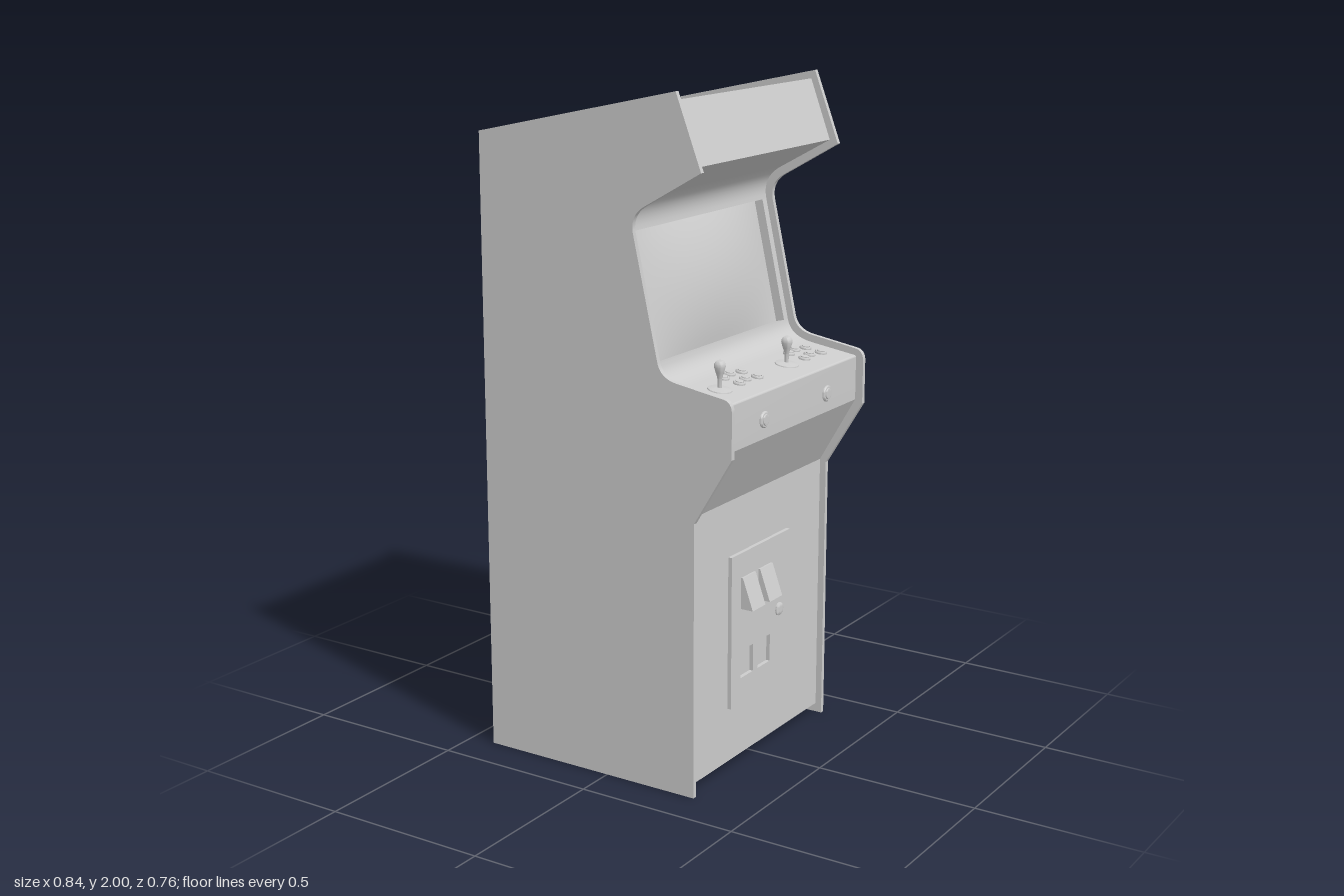
import * as THREE from 'three';
import { toCreasedNormals } from 'three/addons/utils/BufferGeometryUtils.js';

const material = new THREE.MeshStandardMaterial({ color: 0xcccccc });

// [x, y] is a straight step, [cx, cy, x, y] a rounded corner
function outline(steps) {
  const shape = new THREE.Shape();
  shape.moveTo(...steps[0]);
  for (const s of steps.slice(1)) {
    if (s.length === 2) shape.lineTo(...s);
    else shape.quadraticCurveTo(...s);
  }
  shape.closePath();
  return shape;
}

// Extrudes a side-on (x, y) outline from z0 to z1
function slab(shape, z0, z1) {
  const geo = new THREE.ExtrudeGeometry(shape, { depth: z1 - z0, bevelEnabled: false, curveSegments: 10 });
  geo.translate(0, 0, z0);
  return toCreasedNormals(geo, 0.5);
}

function rectangle(x0, y0, x1, y1) {
  return outline([[x0, y0], [x1, y0], [x1, y1], [x0, y1]]);
}

function lathe(points, segments = 24) {
  const geo = new THREE.LatheGeometry(points.map(p => new THREE.Vector2(...p)), segments);
  return toCreasedNormals(geo, 0.6);
}

export function createModel() {
  const cabinet = new THREE.Group();
  cabinet.name = 'arcadeCabinet';
  const add = (name, geometry, parent = cabinet) => {
    const mesh = new THREE.Mesh(geometry, material);
    mesh.name = name;
    parent.add(mesh);
    return mesh;
  };

  // Side panels
  const side = outline([
    [-0.42, 0], [0.3, 0], [0.3, 0.82], [0.42, 1.02], [0.42, 1.15],
    [0.42, 1.183, 0.39, 1.187], [0.245, 1.21],
    [0.19, 1.218, 0.18, 1.262], [0.102, 1.61],
    [0.092, 1.66, 0.14, 1.687], [0.32, 1.79], [0.24, 2], [-0.42, 1.855],
  ]);
  add('leftSidePanel', slab(side, 0.366, 0.38));
  add('rightSidePanel', slab(side, -0.38, -0.366));

  // Inner body, set in from the panel edges, with a notch for the screen
  const body = outline([
    [-0.4, 0.028], [0.28, 0.028], [0.28, 0.827], [0.396, 1.03], [0.396, 1.16],
    [0.396, 1.165, 0.39, 1.166], [0.24, 1.188],
    [0.17, 1.2, 0.16, 1.25], [0.131, 1.243], [0.051, 1.603], [0.08, 1.61],
    [0.065, 1.675, 0.13, 1.71], [0.293, 1.8], [0.228, 1.975], [-0.4, 1.84],
  ]);
  add('body', slab(body, -0.366, 0.366));

  // Screen surround at both sides of the notch
  const strip = outline([[0.131, 1.243], [0.16, 1.25], [0.08, 1.61], [0.051, 1.603]]);
  add('leftBezel', slab(strip, 0.343, 0.366));
  add('rightBezel', slab(strip, -0.366, -0.343));

  // Bulging screen
  const glass = new THREE.PlaneGeometry(0.686, 0.368, 24, 16);
  const pos = glass.attributes.position;
  for (let i = 0; i < pos.count; i++) {
    const u = pos.getX(i) / 0.343, v = pos.getY(i) / 0.184;
    pos.setZ(i, 0.002 + 0.03 * (1 - u * u) * (1 - v * v));
  }
  glass.computeVertexNormals();
  glass.rotateY(Math.PI / 2).rotateZ(Math.atan2(0.08, 0.36)).translate(0.091, 1.423, 0);
  add('screen', glass);

  // Controls: one joystick and six buttons for each player
  const slope = Math.atan2(0.022, 0.15);
  const deckY = x => 1.166 + 0.147 * (0.39 - x);
  const washer = lathe([[0.036, -0.002], [0.034, 0.003], [0.012, 0.007], [0, 0.007]]);
  const stick = lathe([
    [0.006, 0], [0.006, 0.032], [0.012, 0.05], [0.0165, 0.066],
    [0.0155, 0.074], [0.011, 0.081], [0.005, 0.084], [0, 0.0845],
  ]);
  const button = lathe([
    [0.018, -0.002], [0.018, 0.004], [0.016, 0.007], [0.0125, 0.007],
    [0.0125, 0.004], [0.0115, 0.004], [0.0115, 0.009], [0.009, 0.0105], [0, 0.011],
  ]);
  for (const [player, z] of [['left', 0.262], ['right', -0.105]]) {
    const controls = new THREE.Group();
    controls.name = player + 'PlayerControls';
    cabinet.add(controls);
    const base = add('joystickWasher', washer, controls);
    base.position.set(0.308, deckY(0.308), z);
    base.rotation.z = -slope;
    add('joystick', stick, controls).position.set(0.308, deckY(0.308), z);
    for (const row of [0, 0.052]) {
      for (const [x, dz] of [[0.314, 0.093], [0.305, 0.14], [0.316, 0.188]]) {
        const b = add('actionButton', button, controls);
        b.position.set(x - row, deckY(x - row), z - dz);
        b.rotation.z = -slope;
      }
    }
  }

  // Start buttons on the front lip
  const startButton = lathe([
    [0.024, -0.002], [0.024, 0.003], [0.021, 0.006], [0.016, 0.006],
    [0.015, 0.009], [0.01, 0.0105], [0, 0.011],
  ]);
  startButton.rotateZ(-Math.PI / 2);
  for (const z of [0.17, -0.187]) add('startButton', startButton).position.set(0.396, 1.086, z);

  // Coin door with two return openings, drawn in (-z, y) and turned to face +x
  const slots = [0.077, -0.02];
  const door = new THREE.Group();
  door.name = 'coinDoor';
  cabinet.add(door);
  const plate = rectangle(-0.165, 0.195, 0.165, 0.66);
  for (const z of slots) plate.holes.push(rectangle(-z - 0.035, 0.275, -z + 0.035, 0.36));
  const plateGeo = slab(plate, 0, 0.012);
  plateGeo.rotateY(Math.PI / 2).translate(0.28, 0, 0);
  add('doorPlate', plateGeo, door);

  // Sloping coin slot housings
  const wedge = outline([[0.288, 0.49], [0.332, 0.49], [0.298, 0.585], [0.288, 0.585]]);
  for (const z of slots) add('coinSlot', slab(wedge, z - 0.036, z + 0.036), door);

  // Door lock
  const lock = lathe([[0.02, -0.002], [0.02, 0.004], [0.016, 0.007], [0.008, 0.008], [0, 0.008]]);
  lock.rotateZ(-Math.PI / 2).translate(0.292, 0.425, -0.105);
  add('doorLock', lock, door);

  return cabinet;
}
